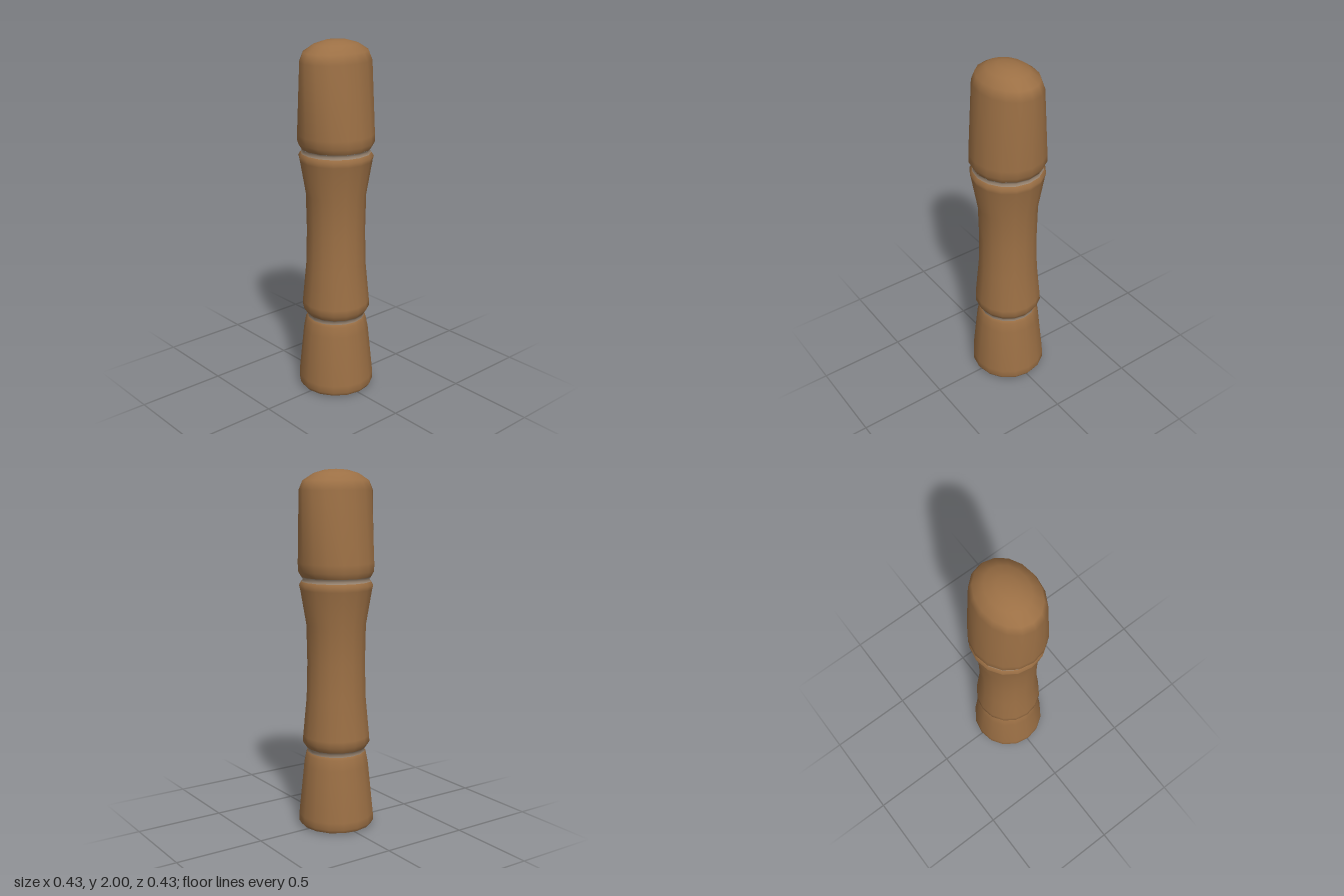
import * as THREE from 'three';
import { mergeVertices } from 'three/addons/utils/BufferGeometryUtils.js';

const SIDES = 16;

// Turned shape from [radius, y] points, listed bottom to top; reshape(y) gives the depth scale
function turned(name, profile, material, depthScale = () => 1) {
  const lathe = new THREE.LatheGeometry(profile.map(([r, y]) => new THREE.Vector2(r, y)), SIDES);
  lathe.deleteAttribute('normal');
  lathe.deleteAttribute('uv');
  const geometry = mergeVertices(lathe, 1e-4);
  const pos = geometry.attributes.position;
  for (let i = 0; i < pos.count; i++) pos.setZ(i, pos.getZ(i) * depthScale(pos.getY(i)));
  geometry.computeVertexNormals();
  const mesh = new THREE.Mesh(geometry, material);
  mesh.name = name;
  return mesh;
}

export function createModel() {
  const skin = new THREE.MeshStandardMaterial({ color: 0x9c7045 });
  skin.name = 'warm brown';
  const joint = new THREE.MeshStandardMaterial({ color: 0x9a8672 });
  joint.name = 'joint grey';

  const group = new THREE.Group();
  group.name = 'jointedFinger';

  // Flared lower segment
  group.add(turned('baseSegment', [
    [0.203, 0.01], [0.215, 0.03], [0.214, 0.07], [0.184, 0.36], [0.172, 0.42], [0.163, 0.435],
  ], skin));
  // Slightly domed underside
  group.add(turned('underside', [[0, 0], [0.15, 0.003], [0.203, 0.01]], joint));
  // Lower joint groove
  group.add(turned('lowerJoint', [[0.163, 0.435], [0.16, 0.448], [0.17, 0.462]], joint));
  // Waisted middle segment
  group.add(turned('middleSegment', [
    [0.17, 0.462], [0.191, 0.495], [0.189, 0.53], [0.168, 0.75], [0.163, 0.95],
    [0.167, 1.16], [0.2, 1.355], [0.206, 1.378], [0.193, 1.398],
  ], skin));
  // Upper joint groove
  group.add(turned('upperJoint', [[0.193, 1.398], [0.184, 1.41], [0.193, 1.424]], joint));
  // Tip segment, flattened front to back towards its domed end
  group.add(turned('tipSegment', [
    [0.193, 1.424], [0.212, 1.455], [0.214, 1.5], [0.214, 1.89], [0.192, 1.94],
    [0.13, 1.978], [0.065, 1.996], [0, 2],
  ], skin, (y) => 1 - 0.21 * THREE.MathUtils.clamp((y - 1.42) / 0.47, 0, 1)));

  return group;
}
